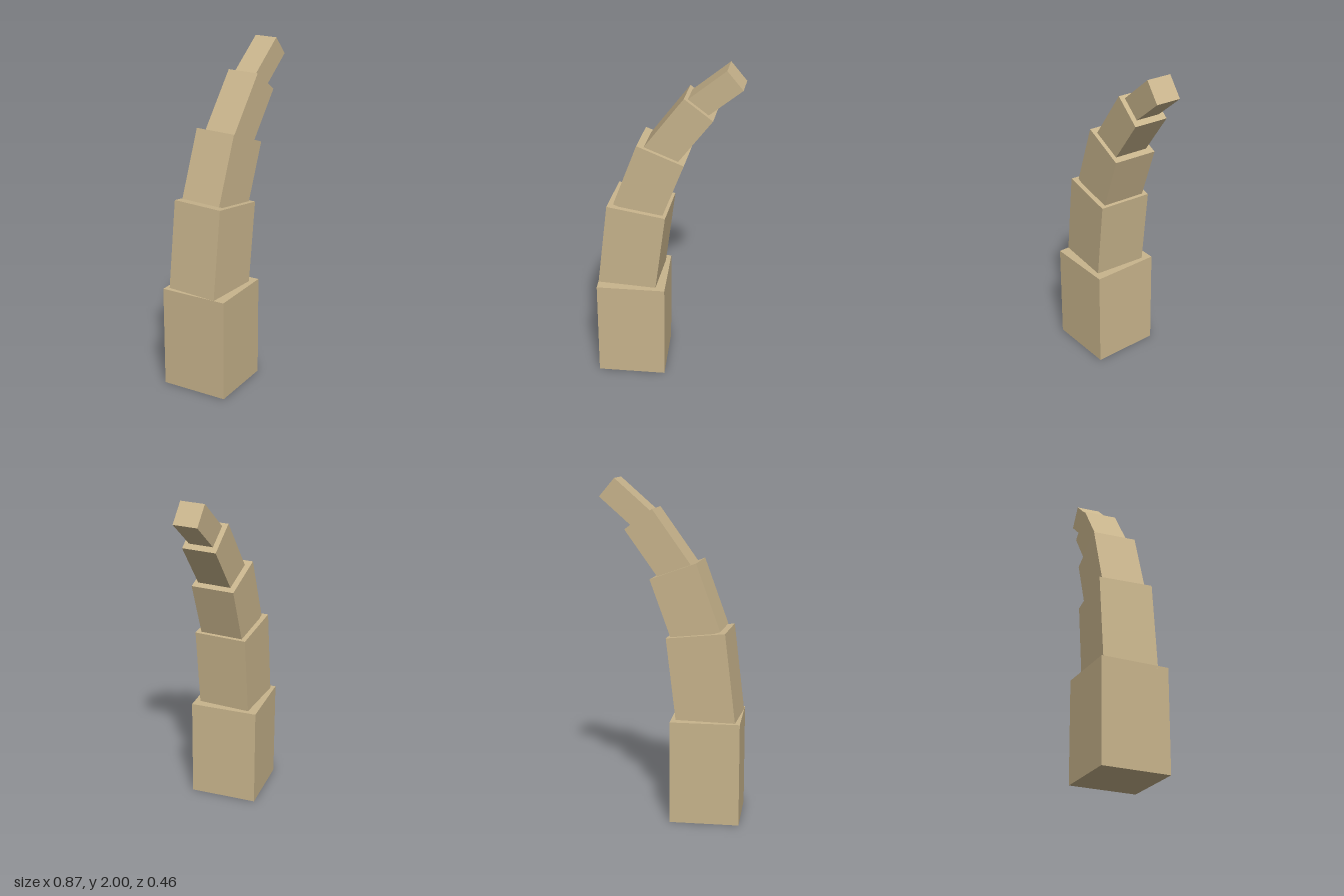
import * as THREE from 'three';

export function createModel() {
  const model = new THREE.Group();
  model.name = 'curvedHorn';
  const tan = new THREE.MeshStandardMaterial({ color: 0xc8b48c });
  tan.name = 'tan';

  // Stacked blocks: centre of the end face, width, length, depth, lean (degrees), yaw (radians)
  const segments = [
    { name: 'baseBlock', end: [-0.207, 0.613, 0], size: [0.408, 0.613, 0.408], lean: 0, yaw: 0.133 },
    { name: 'lowerSegment', end: [-0.16, 1.117, -0.005], size: [0.349, 0.545, 0.32], lean: 6.9, yaw: 0.043 },
    { name: 'middleSegment', end: [-0.021, 1.481, -0.011], size: [0.29, 0.414, 0.261], lean: 20.2, yaw: 0.042 },
    { name: 'upperSegment', end: [0.19, 1.77, -0.0145], size: [0.203, 0.41, 0.203], lean: 36, yaw: 0.041 },
    { name: 'tipSegment', end: [0.3835, 1.946, -0.021], size: [0.141, 0.281, 0.145], lean: 49.3, yaw: 0.04 },
  ];

  for (const { name, end, size, lean, yaw } of segments) {
    // Origin sits on the end face, so the block hangs back along its axis
    const geometry = new THREE.BoxGeometry(...size).translate(0, -size[1] / 2, 0);
    const block = new THREE.Mesh(geometry, tan);
    block.name = name;
    block.position.set(...end);
    block.rotation.set(0, yaw, -THREE.MathUtils.degToRad(lean));
    model.add(block);
  }
  return model;
}
